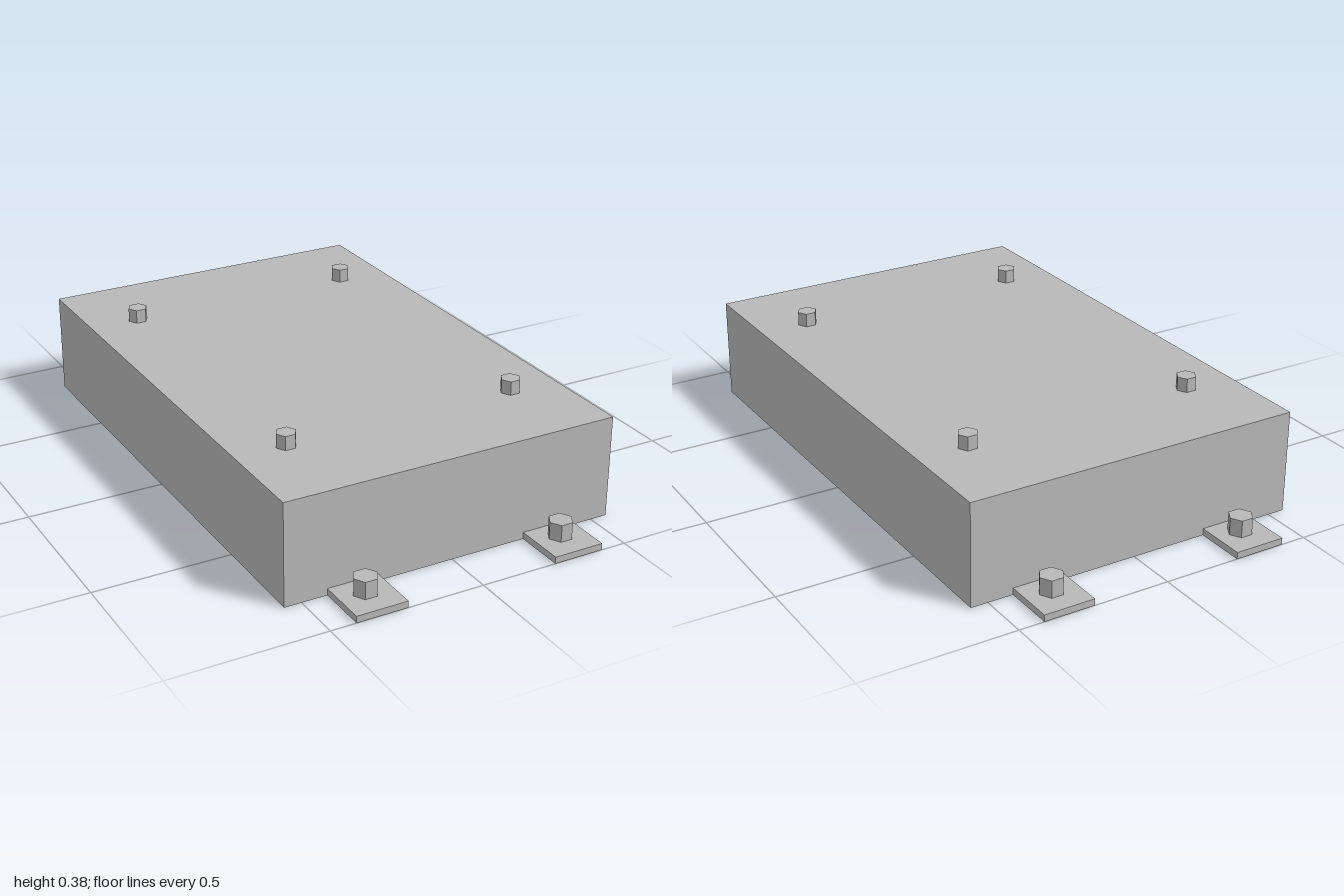
import * as THREE from 'three';

export function createModel() {
  const model = new THREE.Group();
  model.name = 'enclosure';
  const grey = new THREE.MeshStandardMaterial({ color: 0xb8b8b8 });
  grey.name = 'metal grey';

  function add(name, geometry, x, y, z) {
    const mesh = new THREE.Mesh(geometry, grey);
    mesh.name = name;
    mesh.position.set(x, y, z);
    model.add(mesh);
  }

  // Hexagonal bolt with corners pointing along x; flat facets
  function hexBolt(radius, height) {
    const g = new THREE.CylinderGeometry(radius, radius, height, 6).rotateY(Math.PI / 6).toNonIndexed();
    g.computeVertexNormals();
    return g;
  }

  const bodyW = 1.112, bodyH = 0.334, bodyD = 1.668;
  const tabW = 0.167, tabH = 0.022, tabD = 1 - bodyD / 2;
  const lidBoltH = 0.045, footBoltH = 0.056;

  // Main box
  add('body', new THREE.BoxGeometry(bodyW, bodyH, bodyD), 0, bodyH / 2, 0);

  const tab = new THREE.BoxGeometry(tabW, tabH, tabD);
  const lidBolt = hexBolt(0.0325, lidBoltH);
  const footBolt = hexBolt(0.039, footBoltH);

  // Mounting tabs and bolts, mirrored to the four corners
  for (const sx of [-1, 1]) {
    for (const sz of [-1, 1]) {
      const corner = (sz > 0 ? 'front' : 'back') + (sx > 0 ? 'Left' : 'Right');
      add(corner + 'MountingTab', tab, sx * 0.334, tabH / 2, sz * (1 - tabD / 2));
      add(corner + 'MountingBolt', footBolt, sx * 0.334, tabH + footBoltH / 2, sz * 0.903);
      add(corner + 'LidBolt', lidBolt, sx * 0.389, bodyH + lidBoltH / 2, sz * 0.534);
    }
  }
  return model;
}
